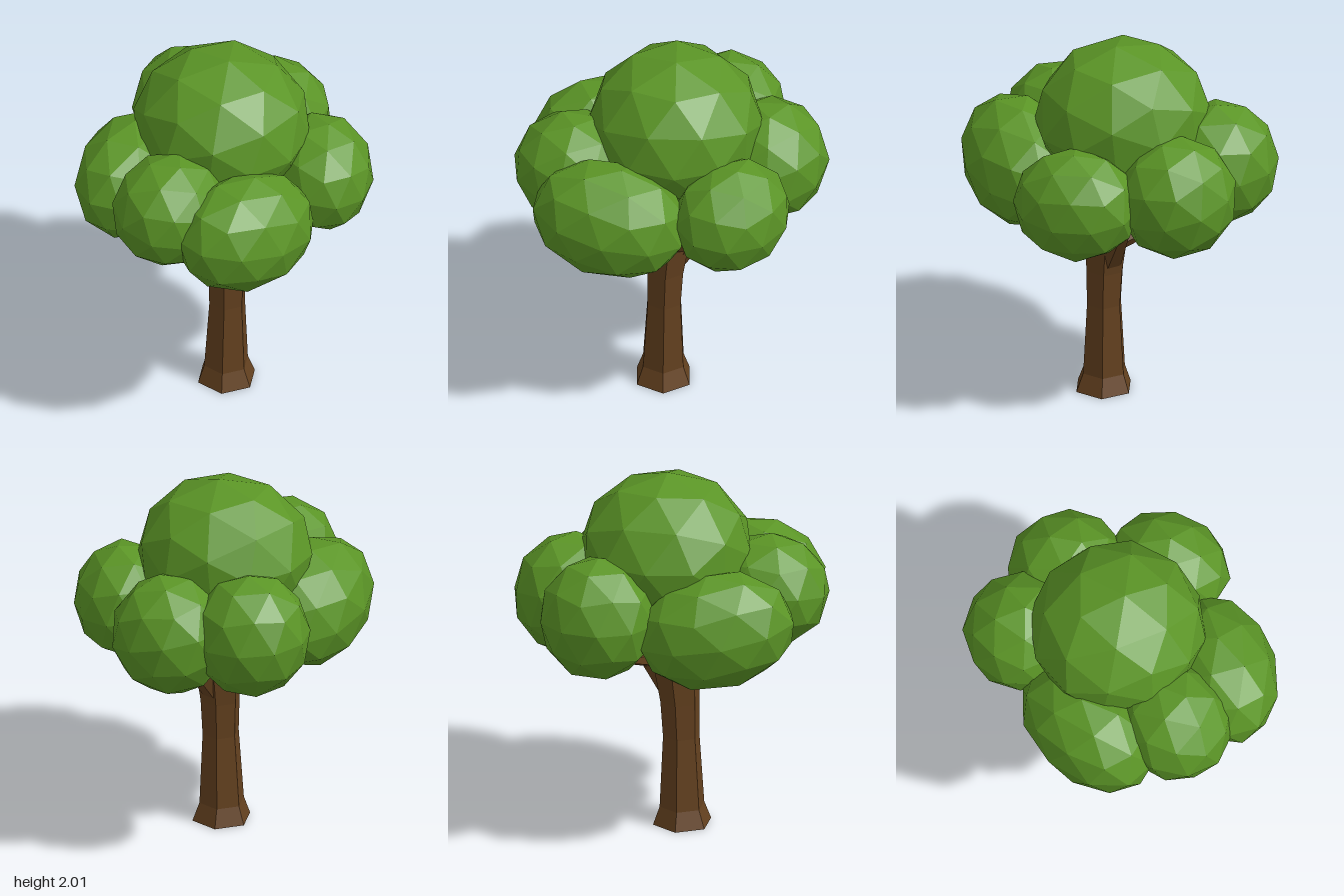
import * as THREE from 'three';

export function createModel() {
  const tree = new THREE.Group();
  const bark = new THREE.MeshStandardMaterial({ color: 0x64411f, flatShading: true });
  const leaf = new THREE.MeshStandardMaterial({ color: 0x5b9526, flatShading: true });

  function add(name, geometry, material) {
    const mesh = new THREE.Mesh(geometry, material);
    mesh.name = name;
    tree.add(mesh);
    return mesh;
  }

  // Six-sided trunk, flared at the foot and widening at the fork: [y, radius, x, z]
  const rings = [
    [0, 0.16, -0.045, 0.08], [0.1, 0.123, -0.045, 0.077], [0.5, 0.1, -0.04, 0.08],
    [0.7, 0.108, -0.034, 0.078], [0.87, 0.124, -0.02, 0.075], [0.93, 0.085, -0.015, 0.07],
  ];
  const trunk = new THREE.CylinderGeometry(1, 1, 1, 6, rings.length - 1);
  const p = trunk.attributes.position;
  for (let i = 0; i < p.count; i++) {
    const [y, r, x, z] = rings[Math.round((p.getY(i) + 0.5) * (rings.length - 1))];
    p.setXYZ(i, x + p.getX(i) * r, y, z + p.getZ(i) * r);
  }
  add('trunk', trunk, bark);

  // Tapered limb between two points
  function limb(name, from, to, r0, r1, sides = 5) {
    const a = new THREE.Vector3(...from), b = new THREE.Vector3(...to);
    const dir = b.clone().sub(a);
    const mesh = add(name, new THREE.CylinderGeometry(r1, r0, dir.length(), sides), bark);
    mesh.position.copy(a).add(b).multiplyScalar(0.5);
    mesh.quaternion.setFromUnitVectors(new THREE.Vector3(0, 1, 0), dir.normalize());
  }
  limb('centerLimb', [-0.025, 0.84, 0.06], [-0.03, 1.09, 0.06], 0.075, 0.035, 6);
  limb('mainLeftLimb', [-0.02, 0.74, 0.07], [0.22, 1.05, 0.1], 0.08, 0.05, 6);
  limb('backLeftBranch', [0.12, 0.92, 0.07], [0.2, 1.03, -0.23], 0.045, 0.02);
  limb('frontLeftBranch', [0.01, 0.88, 0.11], [0.25, 1.01, 0.3], 0.05, 0.02);
  limb('backRightBranch', [-0.05, 0.87, 0.05], [-0.34, 1.0, -0.21], 0.05, 0.02);
  limb('frontRightBranch', [-0.05, 0.87, 0.09], [-0.45, 1.03, 0.11], 0.065, 0.022);

  // Faceted leaf clumps: name, centre, radii, yaw, tilt about z, turn of the facets
  const clumps = [
    ['topClump', [0.02, 1.595, -0.005], [0.465, 0.42, 0.475], 0, 0, 0.3, 0.65],
    ['frontRightClump', [-0.325, 1.285, 0.44], [0.425, 0.325, 0.295], -0.15, -0.2, 0, 0],
    ['backRightClump', [-0.325, 1.295, -0.335], [0.43, 0.32, 0.285], 0.33, -0.15, 0, 0],
    ['frontLeftClump', [0.32, 1.3, 0.425], [0.34, 0.308, 0.28], 0.78, 0, 0.5, 0.15],
    ['leftClump', [0.515, 1.32, -0.07], [0.316, 0.33, 0.324], 0, 0, 0.9, 0.27],
    ['backLeftClump', [0.29, 1.35, -0.435], [0.316, 0.338, 0.314], 0, 0, 0.2, 0.06],
    ['rightClump', [-0.515, 1.375, 0.085], [0.325, 0.305, 0.305], 0, 0, 0.7, 0.21],
  ];
  for (const [name, centre, radii, yaw, tilt, turn, lean] of clumps) {
    const ball = new THREE.IcosahedronGeometry(1, 1);
    ball.rotateZ(-Math.atan(2 / (1 + Math.sqrt(5)))).rotateY(turn).rotateX(lean);
    const clump = add(name, ball, leaf);
    clump.position.set(...centre);
    clump.scale.set(...radii);
    clump.rotation.set(0, yaw, tilt);
  }
  return tree;
}
